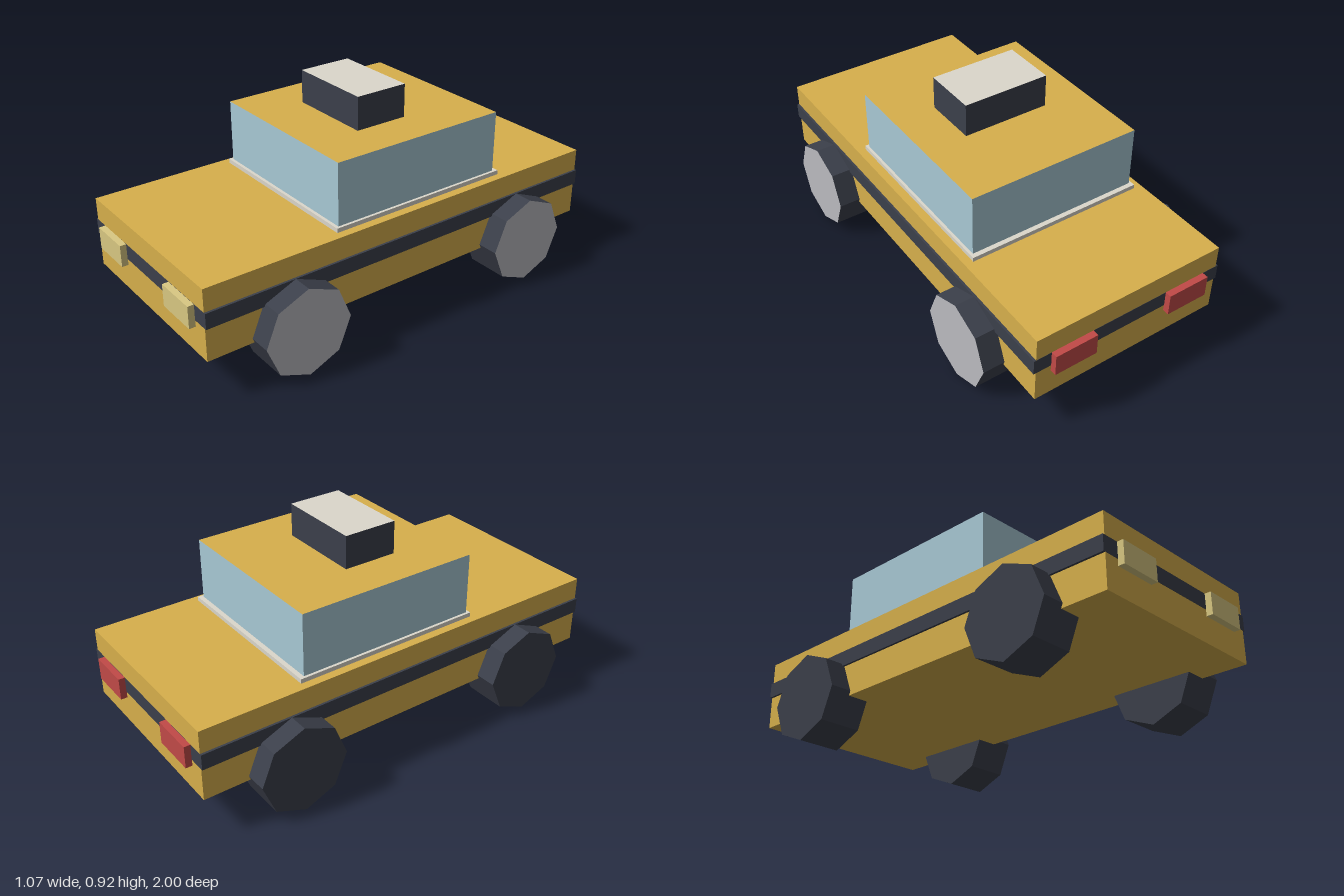
import * as THREE from 'three';

const mat = (color) => new THREE.MeshStandardMaterial({ color, flatShading: true });

export function createModel() {
  const model = new THREE.Group();
  const yellow = mat(0xd8b04c);
  const dark = mat(0x3c404b);
  const glass = mat(0xa9cad6);
  const cream = mat(0xdcd8cc);
  const hub = mat(0xbbbbc0);
  const lamp = mat(0xdac983);
  const red = mat(0xc24a48);

  // Box given by its min/max on each axis; an optional second material covers the top
  function box(name, [x0, x1], [y0, y1], [z0, z1], side, top = side) {
    const geometry = new THREE.BoxGeometry(x1 - x0, y1 - y0, z1 - z0);
    const material = top === side ? side : [side, side, top, side, side, side];
    const mesh = new THREE.Mesh(geometry, material);
    mesh.name = name;
    mesh.position.set((x0 + x1) / 2, (y0 + y1) / 2, (z0 + z1) / 2);
    model.add(mesh);
  }

  // Body with the stripe band wrapped around it
  box('body', [-0.437, 0.437], [0.175, 0.486], [-0.972, 0.972], yellow);
  box('stripe', [-0.447, 0.447], [0.32, 0.388], [-0.973, 0.973], dark);

  // Cabin: trim, glazed walls with a painted roof, and the roof sign
  box('cabinTrim', [-0.4, 0.4], [0.48, 0.505], [-0.507, 0.354], cream);
  box('cabin', [-0.388, 0.388], [0.5, 0.777], [-0.486, 0.34], glass, yellow);
  box('roofSign', [-0.194, 0.194], [0.77, 0.923], [-0.145, 0.097], dark, cream);

  // Lights, mirrored left and right
  for (const s of [-1, 1]) {
    const x = [s * 0.272 - 0.096, s * 0.272 + 0.096];
    const side = s > 0 ? 'left' : 'right';
    box(side + 'Headlight', x, [0.292, 0.388], [0.94, 1], lamp);
    box(side + 'TailLight', x, [0.292, 0.388], [-1, -0.94], red);
  }

  // Eight-sided wheels; the cap facing +x is the pale one
  const wheelGeometry = new THREE.CylinderGeometry(0.194, 0.194, 0.192, 8);
  wheelGeometry.rotateZ(Math.PI / 2);
  for (const s of [-1, 1]) {
    for (const f of [-1, 1]) {
      const wheel = new THREE.Mesh(wheelGeometry, [dark, dark, hub]);
      wheel.name = (f > 0 ? 'front' : 'rear') + (s > 0 ? 'Left' : 'Right') + 'Wheel';
      wheel.position.set(s * 0.437, 0.194, f * 0.583);
      model.add(wheel);
    }
  }
  return model;
}
